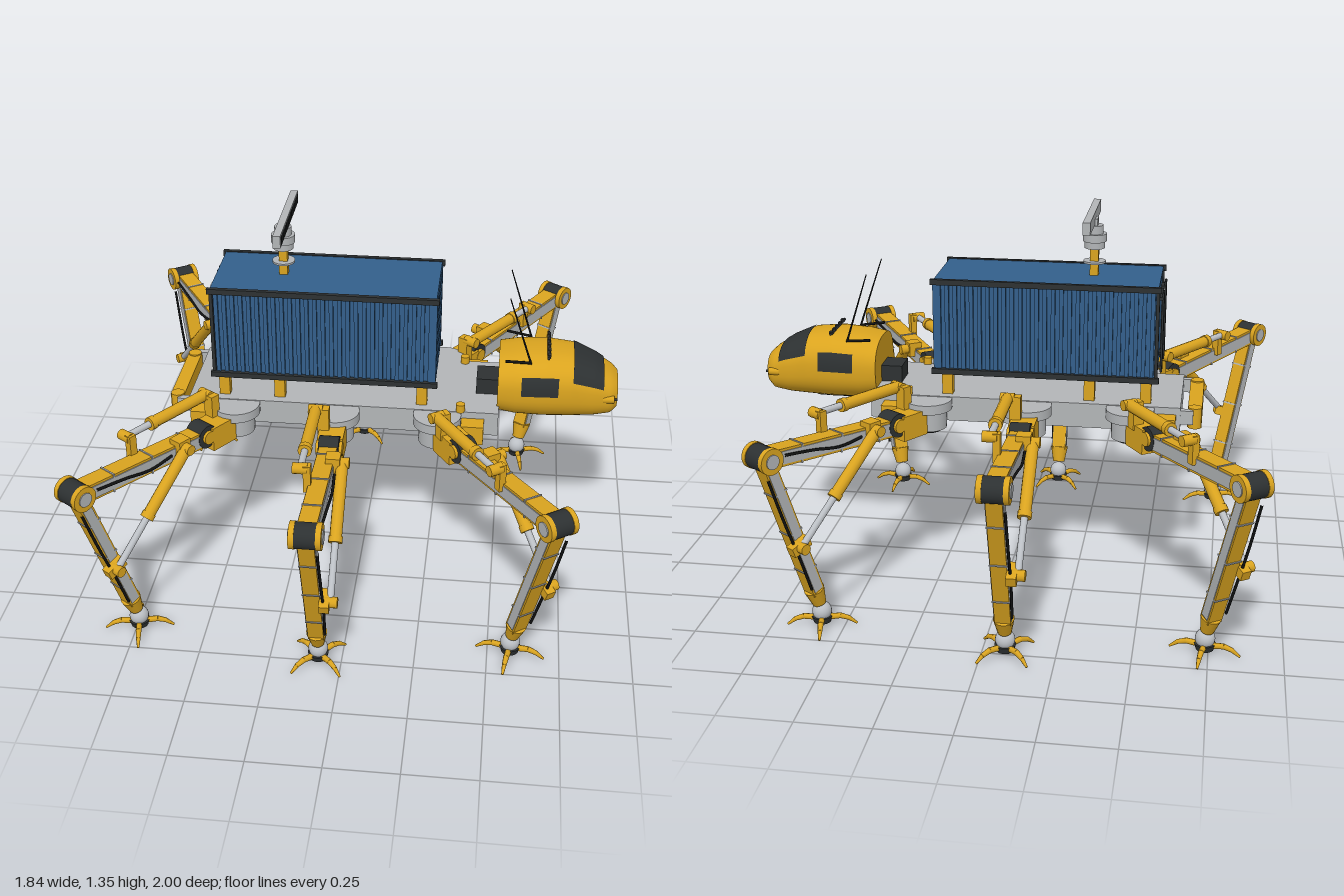
import * as THREE from 'three';

const mat = (name, color) => {
  const m = new THREE.MeshStandardMaterial({ color });
  m.name = name;
  return m;
};
const yellow = mat('machine yellow', 0xdaa41f);
const grey = mat('frame grey', 0xb2b5b7);
const silver = mat('rod silver', 0xbcc0c5);
const dark = mat('dark charcoal', 0x2d3132);
const blue = mat('container blue', 0x335f8b);
const black = mat('cable black', 0x111212);

const V = (x, y, z) => new THREE.Vector3(x, y, z);

function add(parent, name, geo, material, x = 0, y = 0, z = 0) {
  const m = new THREE.Mesh(geo, material);
  m.name = name;
  m.position.set(x, y, z);
  parent.add(m);
  return m;
}
const box = (p, name, m, w, h, d, x, y, z) => add(p, name, new THREE.BoxGeometry(w, h, d), m, x, y, z);
const drum = (p, name, m, rTop, rBottom, h, x, y, z, n = 24) =>
  add(p, name, new THREE.CylinderGeometry(rTop, rBottom, h, n), m, x, y, z);

// Round bar between two points
function rod(p, name, m, a, b, r, r2 = r, n = 12) {
  const d = b.clone().sub(a);
  const mesh = drum(p, name, m, r2, r, d.length(), 0, 0, 0, n);
  mesh.position.copy(a).add(b).multiplyScalar(0.5);
  mesh.quaternion.setFromUnitVectors(V(0, 1, 0), d.normalize());
  return mesh;
}

// Yellow box beam with grey inset side plates and cross bands
function beam(p, name, a, b, w, h) {
  const g = new THREE.Group(), len = a.distanceTo(b);
  g.name = name;
  g.position.copy(a).add(b).multiplyScalar(0.5);
  g.lookAt(b);
  p.add(g);
  box(g, name + 'Core', yellow, w, h, len, 0, 0, 0);
  for (const s of [-1, 1]) box(g, name + 'SidePlate', grey, 0.006, h * 0.72, len * 0.94, s * w / 2, 0, 0);
  for (const f of [-0.3, 0, 0.3]) box(g, name + 'Band', grey, w + 0.006, h + 0.006, 0.006, 0, 0, f * len);
}

// Hydraulic cylinder: thick barrel, thin piston, pins at both ends
function hydraulic(p, name, a, b, share) {
  const mid = a.clone().lerp(b, share);
  rod(p, name + 'Barrel', yellow, a, mid, 0.021);
  rod(p, name + 'Collar', yellow, mid.clone().lerp(a, 0.08), mid, 0.024);
  rod(p, name + 'Piston', silver, mid, b, 0.012);
  for (const e of [a, b]) rod(p, name + 'Pin', yellow, e.clone().add(V(-0.025, 0, 0)), e.clone().add(V(0.025, 0, 0)), 0.019);
}

// One leg, reaching along +z from the hip at the origin
function createLeg() {
  const g = new THREE.Group();
  g.name = 'leg';
  const knee = V(0, 0.685, 0.735), ankle = V(0, 0.09, 0.535);
  const side = (e, w) => [e.clone().setX(-w), e.clone().setX(w)];

  drum(g, 'hipTurntable', grey, 0.085, 0.085, 0.035, 0, 0.68, 0, 32);
  drum(g, 'hipHousing', grey, 0.065, 0.065, 0.075, 0, 0.63, 0);
  drum(g, 'hipUnderCap', dark, 0.055, 0.045, 0.014, 0, 0.588, 0);
  box(g, 'hipBracket', yellow, 0.09, 0.09, 0.11, 0, 0.633, 0.105);
  const hipPin = V(0, 0.65, 0.175);
  rod(g, 'hipDrum', dark, ...side(hipPin, 0.035), 0.043, 0.043, 24);
  rod(g, 'hipPin', yellow, ...side(hipPin, 0.046), 0.025);

  beam(g, 'thigh', V(0, 0.64, 0.15), V(0, 0.68, 0.71), 0.062, 0.062);
  rod(g, 'kneeDrum', dark, ...side(knee, 0.034), 0.043, 0.043, 24);
  for (const s of [-1, 1]) {
    const k = [knee.clone().setX(s * 0.034), knee.clone().setX(s * 0.052)];
    rod(g, 'kneeCap', yellow, ...k, 0.045, 0.045, 24);
    rod(g, 'kneeBolt', grey, k[1], knee.clone().setX(s * 0.056), 0.025, 0.025, 16);
  }
  beam(g, 'shin', V(0, 0.66, 0.727), V(0, 0.14, 0.552), 0.054, 0.048);

  // Lift cylinder above and beside the thigh
  hydraulic(g, 'lift', V(-0.058, 0.75, 0.09), V(-0.058, 0.75, 0.46), 0.72);
  box(g, 'liftRearPost', yellow, 0.04, 0.1, 0.035, -0.03, 0.71, 0.09);
  box(g, 'liftFrontPost', yellow, 0.025, 0.1, 0.028, -0.035, 0.715, 0.46);

  // Shin cylinder
  hydraulic(g, 'shinDrive', V(0.06, 0.675, 0.3), V(0.06, 0.355, 0.645), 0.58);
  box(g, 'shinDriveMount', yellow, 0.05, 0.055, 0.05, 0.03, 0.675, 0.3);
  const clevis = box(g, 'shinClevis', yellow, 0.034, 0.036, 0.075, 0.042, 0.355, 0.64);
  clevis.rotation.x = 0.35;

  // Hoses along thigh and shin
  const hose = (...pts) => add(g, 'hose', new THREE.TubeGeometry(new THREE.CatmullRomCurve3(pts), 16, 0.005, 6), black);
  hose(V(0.04, 0.66, 0.35), V(0.045, 0.655, 0.45), V(0.045, 0.675, 0.56), V(0.043, 0.69, 0.68));
  hose(V(0.035, 0.62, 0.745), V(0.037, 0.45, 0.69), V(0.037, 0.3, 0.635), V(0.033, 0.17, 0.59));

  // Foot: tapered ankle, ball joint and four curved toes
  rod(g, 'ankleSleeve', yellow, V(0, 0.15, 0.555), ankle, 0.036, 0.024, 16);
  add(g, 'ankleBall', new THREE.SphereGeometry(0.034, 20, 14), silver, 0, 0.055, 0.525);
  drum(g, 'footPad', dark, 0.036, 0.03, 0.022, 0, 0.026, 0.525);
  for (let i = 0; i < 4; i++) {
    const toe = new THREE.Group();
    toe.name = 'toe';
    toe.position.z = 0.525;
    toe.rotation.y = Math.PI * (i / 2 + 0.25);
    g.add(toe);
    rod(toe, 'toeBase', yellow, V(0, 0.03, 0.02), V(0, 0.034, 0.065), 0.011, 0.01, 8);
    rod(toe, 'toeMiddle', yellow, V(0, 0.034, 0.063), V(0, 0.024, 0.095), 0.01, 0.008, 8);
    rod(toe, 'toeTip', yellow, V(0, 0.024, 0.093), V(0, 0.004, 0.12), 0.008, 0.004, 8);
  }
  return g;
}

// Cabin hull stations: x, bottom, top, half width
const HULL = [[0.487, 0.65, 0.865, 0.145], [0.55, 0.64, 0.877, 0.153], [0.65, 0.637, 0.885, 0.154],
  [0.75, 0.638, 0.877, 0.141], [0.83, 0.641, 0.842, 0.122], [0.89, 0.65, 0.805, 0.102], [0.912, 0.67, 0.785, 0.08]];

function hullPoint(x, a, off = 0) {
  let i = 0;
  while (i < HULL.length - 2 && x > HULL[i + 1][0]) i++;
  const t = (x - HULL[i][0]) / (HULL[i + 1][0] - HULL[i][0]);
  const [lo, hi, w] = [1, 2, 3].map(k => THREE.MathUtils.lerp(HULL[i][k], HULL[i + 1][k], t));
  const bend = v => Math.sign(v) * Math.abs(v) ** 0.8;
  return V(x, (lo + hi) / 2 + ((hi - lo) / 2 + off) * bend(Math.cos(a)), (w + off) * bend(Math.sin(a)));
}

// Piece of the hull skin between two x values and two angles measured from the top
function hullPatch(x0, x1, a0, a1, nx, na, off) {
  const pos = [], idx = [];
  for (let i = 0; i <= nx; i++) for (let j = 0; j <= na; j++) {
    pos.push(...hullPoint(x0 + (x1 - x0) * i / nx, a0 + (a1 - a0) * j / na, off).toArray());
    const k = i * (na + 1) + j;
    if (i < nx && j < na) idx.push(k, k + 1, k + na + 1, k + 1, k + na + 2, k + na + 1);
  }
  const geo = new THREE.BufferGeometry();
  geo.setAttribute('position', new THREE.Float32BufferAttribute(pos, 3));
  geo.setIndex(idx);
  geo.computeVertexNormals();
  return geo;
}

function createCabin() {
  const g = new THREE.Group();
  g.name = 'cabin';
  add(g, 'cabinHull', hullPatch(0.487, 0.912, -Math.PI, Math.PI, 40, 48, 0), yellow);
  for (const [x, turn] of [[0.487, -1], [0.912, 1]]) {
    const pts = Array.from({ length: 48 }, (_, i) => hullPoint(x, -i * Math.PI / 24)).map(p => new THREE.Vector2(p.z, p.y));
    add(g, 'cabinEnd', new THREE.ShapeGeometry(new THREE.Shape(pts)).rotateY(turn * Math.PI / 2), yellow, x, 0, 0);
  }
  add(g, 'windscreen', hullPatch(0.75, 0.86, -1.2, 1.2, 14, 32, 0.004), dark);
  add(g, 'bellyWindow', hullPatch(0.56, 0.72, Math.PI - 0.7, Math.PI + 0.7, 12, 16, 0.003), dark);
  for (const s of [-1, 1]) {
    const a = s > 0 ? [1.08, 1.57] : [-1.57, -1.08];
    add(g, 'sideWindow', hullPatch(0.57, 0.7, ...a, 10, 8, 0.004), dark);
    rod(g, 'antenna', black, V(0.6, 0.86, s * 0.1), V(0.515, 1.12, s * 0.115), 0.004, 0.002, 6);
    rod(g, 'antennaBase', black, V(0.6, 0.865, s * 0.1), V(0.51, 0.875, s * 0.115), 0.005, 0.005, 8);
    rod(g, 'headlight', yellow, V(0.86, 0.735, s * 0.1), V(0.9, 0.735, s * 0.1), 0.015, 0.013, 12);
    rod(g, 'probe', dark, V(0.9, 0.735, s * 0.1), V(0.911, 0.735, s * 0.1), 0.005);
  }
  rod(g, 'roofBar', dark, V(0.66, 0.886, -0.1), V(0.66, 0.886, 0.1), 0.005);
  for (let i = -2; i <= 2; i++) box(g, 'roofLamp', dark, 0.012, 0.012, 0.018, 0.662, 0.887, i * 0.04);
  box(g, 'neck', dark, 0.1, 0.09, 0.1, 0.46, 0.715, 0);
  return g;
}

function createContainer() {
  const g = new THREE.Group();
  g.name = 'container';
  box(g, 'containerShell', blue, 0.785, 0.32, 0.29, -0.13, 0.95, 0);
  box(g, 'containerRoof', blue, 0.79, 0.012, 0.304, -0.13, 1.116, 0);
  // Square corrugation ribs on the long sides, with rails and corner posts
  for (const s of [-1, 1]) {
    for (let i = 0; i < 27; i++) box(g, 'sideRib', blue, 0.0145, 0.32, 0.012, -0.13 + (i - 13) * 0.029, 0.95, s * 0.15);
    for (const y of [0.787, 1.115]) box(g, 'sideRail', dark, 0.81, 0.02, 0.016, -0.13, y, s * 0.158);
    box(g, 'frontPost', blue, 0.018, 0.32, 0.018, 0.259, 0.95, s * 0.147);
    box(g, 'rearPost', dark, 0.012, 0.32, 0.02, -0.523, 0.95, s * 0.147);
    for (const z of [0.06, 0.095]) rod(g, 'doorRod', dark, V(-0.538, 0.8, s * z), V(-0.538, 1.09, s * z), 0.004);
    for (const y of [0.82, 1.07]) box(g, 'rodKeeper', dark, 0.02, 0.01, 0.05, -0.53, y, s * 0.078);
  }
  for (let i = -6; i <= 6; i++) box(g, 'frontRib', blue, 0.008, 0.32, 0.011, 0.264, 0.95, i * 0.0215);
  return g;
}

function createRadar() {
  const g = new THREE.Group();
  g.name = 'radar';
  g.position.x = -0.287;
  box(g, 'radarMast', yellow, 0.03, 0.11, 0.03, 0, 1.17, 0);
  drum(g, 'mastRing', grey, 0.04, 0.04, 0.007, 0, 1.17, 0);
  drum(g, 'radarBase', grey, 0.036, 0.036, 0.025, 0, 1.232, 0);
  drum(g, 'radarCollar', grey, 0.042, 0.042, 0.028, 0, 1.258, 0);
  drum(g, 'radarPivot', grey, 0.03, 0.03, 0.03, 0, 1.287, 0);
  box(g, 'radarBracket', grey, 0.03, 0.03, 0.05, 0.004, 1.312, 0);
  const bar = new THREE.Group();
  bar.name = 'radarBarAssembly';
  bar.position.set(0.011, 1.33, 0);
  g.add(bar);
  box(bar, 'radarBar', grey, 0.026, 0.044, 0.4, 0, 0, 0);
  for (let i = 0; i < 14; i++) box(bar, 'radarSlot', dark, 0.004, 0.03, 0.017, 0.013, 0, (i - 6.5) * 0.0275);
  return g;
}

function createChassis() {
  const g = new THREE.Group();
  g.name = 'chassis';
  box(g, 'deck', grey, 1.11, 0.03, 0.37, -0.06, 0.685, 0);
  for (const s of [-1, 1]) {
    box(g, 'sideSill', grey, 1.11, 0.08, 0.03, -0.06, 0.65, s * 0.17);
    box(g, 'bumperArm', grey, 0.07, 0.05, 0.025, -0.625, 0.665, s * 0.172);
    for (const x of [0.405, -0.56]) box(g, 'cornerBlock', yellow, 0.08, 0.07, 0.06, x, 0.64, s * 0.215);
    drum(g, 'deckKnob', yellow, 0.016, 0.016, 0.03, 0.36, 0.712, s * 0.175, 16);
    for (const x of [-0.29, 0.22, -0.49]) box(g, 'containerPost', yellow, 0.038, 0.09, 0.035, x, 0.74, s * 0.135);
    // Underside bracing
    for (const x of [-0.42, -0.06, 0.3])
      rod(g, 'underBrace', grey, V(x - 0.17, 0.645, -s * 0.16), V(x + 0.17, 0.645, s * 0.16), 0.014, 0.014, 8);
  }
  for (const x of [-0.6, -0.24, 0.12, 0.48]) box(g, 'crossMember', grey, 0.03, 0.07, 0.33, x, 0.645, 0);
  box(g, 'rearBumper', yellow, 0.05, 0.07, 0.31, -0.665, 0.655, 0);
  for (const s of [-1, 1]) rod(g, 'bumperEnd', yellow, V(-0.665, 0.62, s * 0.15), V(-0.665, 0.695, s * 0.15), 0.024, 0.024, 16);
  return g;
}

export function createModel() {
  const model = new THREE.Group();
  model.name = 'walkingHauler';
  model.add(createChassis(), createContainer(), createRadar(), createCabin());
  // Six legs: outer pairs splayed, middle pair straight out
  for (const s of [1, -1]) for (const k of [-1, 0, 1]) {
    const leg = createLeg();
    leg.position.set(-0.08 + k * 0.36, 0, s * (k ? 0.205 : 0.218));
    const splay = k * 0.605;
    leg.rotation.y = s > 0 ? splay : Math.PI - splay;
    model.add(leg);
  }
  return model;
}
